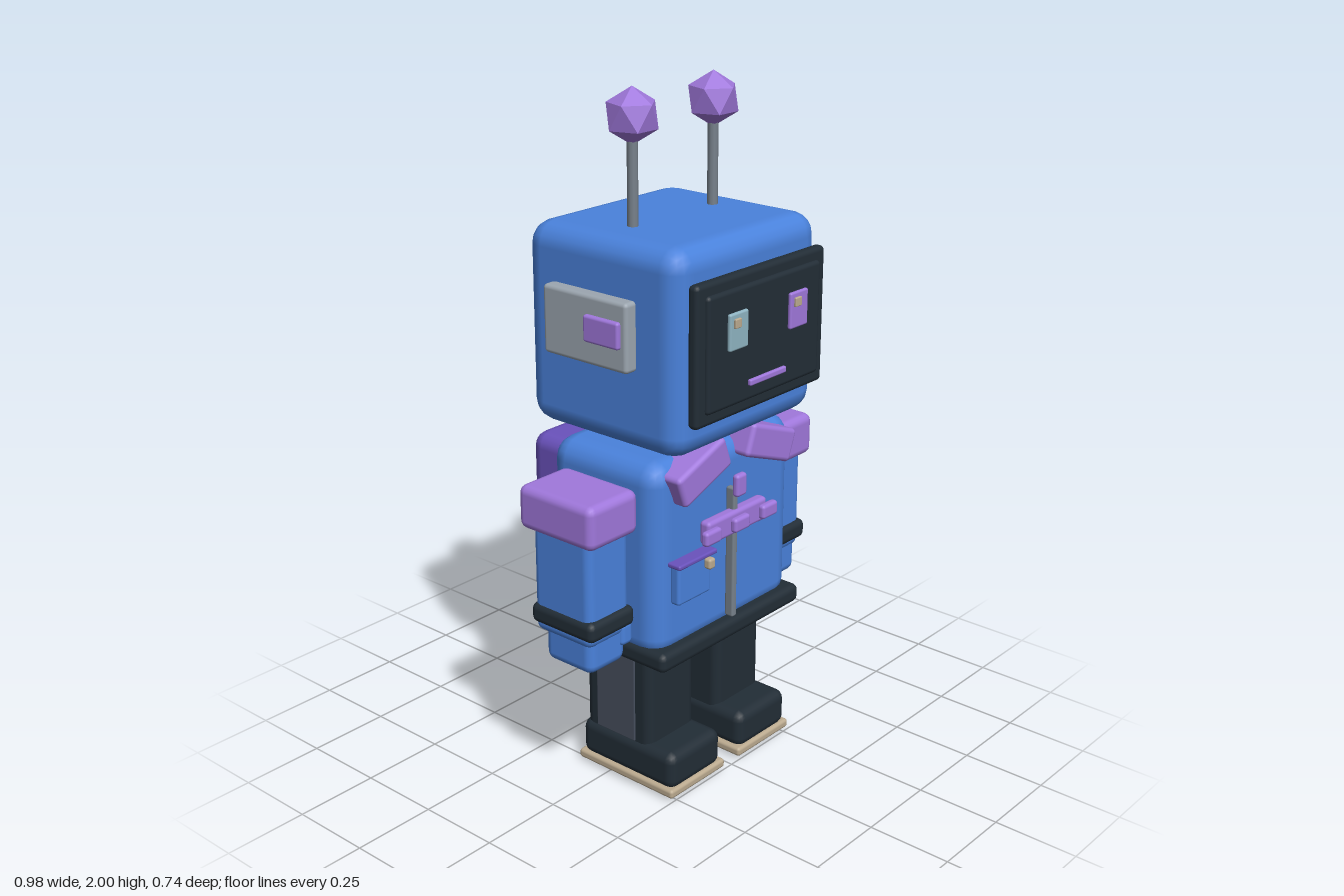
import * as THREE from 'three';
import { RoundedBoxGeometry } from 'three/addons/geometries/RoundedBoxGeometry.js';

const paint = (name, color) => Object.assign(new THREE.MeshStandardMaterial({ color }), { name });

export function createModel() {
  const robot = new THREE.Group();
  robot.name = 'robot';

  const blue = paint('blue', 0x4a82dc);
  const purple = paint('purple', 0xa078dc);
  const violet = paint('violet', 0x6a52bc);
  const dark = paint('dark', 0x222d36);
  const slate = paint('slate', 0x474f5e);
  const silver = paint('silver', 0x9ca6b0);
  const teal = paint('teal', 0x8fb4c2);
  const steel = paint('steel', 0x78828c);
  const beige = paint('beige', 0xbcab90);

  // Rounded box given by its limits on each axis
  function box(name, mat, [x0, x1], [y0, y1], [z0, z1], radius = 0.02, parent = robot) {
    const w = x1 - x0, h = y1 - y0, d = z1 - z0;
    const r = Math.min(radius, Math.min(w, h, d) * 0.45);
    const mesh = new THREE.Mesh(new RoundedBoxGeometry(w, h, d, 2, r), mat);
    mesh.position.set((x0 + x1) / 2, (y0 + y1) / 2, (z0 + z1) / 2);
    mesh.name = name;
    parent.add(mesh);
    return mesh;
  }

  // Box on one side, limits given for the +x side
  const sideBox = (s, name, mat, [a, b], y, z, r) =>
    box(name, mat, s > 0 ? [a, b] : [-b, -a], y, z, r);

  // Head and face
  box('head', blue, [-0.304, 0.304], [1.055, 1.63], [-0.257, 0.295], 0.065);
  box('faceFrame', dark, [-0.273, 0.273], [1.155, 1.545], [0.299, 0.334], 0.014);
  box('screen', dark, [-0.24, 0.24], [1.19, 1.512], [0.28, 0.345], 0.012);
  box('rightEye', teal, [-0.167, -0.09], [1.35, 1.452], [0.345, 0.358], 0.006);
  box('leftEye', purple, [0.09, 0.167], [1.35, 1.452], [0.345, 0.358], 0.006);
  box('rightEyeGlint', beige, [-0.153, -0.128], [1.412, 1.438], [0.356, 0.365], 0.003);
  box('leftEyeGlint', beige, [0.103, 0.13], [1.412, 1.438], [0.356, 0.365], 0.003);
  box('mouth', purple, [-0.078, 0.078], [1.234, 1.252], [0.345, 0.358], 0.005);

  // Neck, torso and belt
  box('neck', blue, [-0.11, 0.11], [0.98, 1.09], [-0.1, 0.12], 0.03);
  box('torso', blue, [-0.304, 0.304], [0.44, 1.025], [-0.183, 0.222], 0.065);
  box('belt', dark, [-0.31, 0.31], [0.424, 0.482], [-0.178, 0.252], 0.02);

  // Jacket front
  box('zip', steel, [-0.01, 0.01], [0.49, 0.89], [0.222, 0.252], 0.006);
  box('zipPull', purple, [-0.022, 0.022], [0.87, 0.937], [0.252, 0.275], 0.01);
  box('chestStrap', purple, [-0.13, 0.13], [0.755, 0.826], [0.225, 0.262], 0.012);
  for (const x of [-0.125, 0, 0.125])
    box('strapStud', purple, [x - 0.034, x + 0.034], [0.767, 0.81], [0.255, 0.28], 0.01);
  box('pocket', blue, [-0.243, -0.103], [0.61, 0.735], [0.215, 0.25], 0.01);
  box('pocketFlap', violet, [-0.253, -0.09], [0.725, 0.74], [0.215, 0.262], 0.006);
  box('pocketButton', beige, [-0.14, -0.113], [0.692, 0.724], [0.25, 0.275], 0.008);

  // Backpack
  box('backpack', violet, [-0.212, 0.212], [0.56, 0.97], [-0.348, -0.17], 0.045);

  for (const s of [-1, 1]) {
    const side = s > 0 ? 'left' : 'right';

    // Antenna
    const rod = new THREE.Mesh(new THREE.CylinderGeometry(0.015, 0.015, 0.3, 10), steel);
    rod.position.set(s * 0.165, 1.74, 0.02);
    rod.name = side + 'AntennaRod';
    const ball = new THREE.Mesh(new THREE.IcosahedronGeometry(0.077, 0), purple);
    ball.position.set(s * 0.165, 1.923, 0.02);
    ball.rotation.x = -1.017;
    ball.name = side + 'AntennaBall';
    robot.add(rod, ball);

    // Ear
    sideBox(s, side + 'Ear', silver, [0.296, 0.343], [1.287, 1.48], [-0.147, 0.154], 0.012);
    sideBox(s, side + 'EarLight', purple, [0.335, 0.356], [1.353, 1.428], [0.01, 0.135], 0.008);

    // Collar flap
    const collar = box(side + 'Collar', purple, [-0.105, 0.105], [-0.049, 0.049], [0.11, 0.265], 0.014);
    collar.position.set(s * 0.146, 0.983, 0.188);
    collar.rotation.z = -s * 0.36;

    // Arm
    sideBox(s, side + 'Arm', blue, [0.306, 0.47], [0.52, 0.88], [-0.085, 0.128], 0.025);
    sideBox(s, side + 'ShoulderPad', purple, [0.295, 0.488], [0.824, 0.953], [-0.12, 0.155], 0.025);
    sideBox(s, side + 'Cuff', dark, [0.3, 0.48], [0.546, 0.606], [-0.09, 0.144], 0.02);
    sideBox(s, side + 'Hand', blue, [0.315, 0.462], [0.435, 0.56], [-0.055, 0.122], 0.028);
    sideBox(s, side + 'Thumb', blue, [0.298, 0.345], [0.485, 0.555], [0.04, 0.132], 0.015);

    // Leg with outer stripe
    sideBox(s, side + 'Leg', dark, [0.05, 0.254], [0.09, 0.46], [-0.1, 0.15], 0.03);
    sideBox(s, side + 'LegStripe', slate, [0.25, 0.2585], [0.135, 0.432], [-0.05, 0.096], 0.003);

    // Shoe, sole and tread
    sideBox(s, side + 'Shoe', dark, [0.042, 0.266], [0.025, 0.14], [-0.108, 0.246], 0.03);
    sideBox(s, side + 'Sole', beige, [0.032, 0.273], [0.008, 0.036], [-0.113, 0.251], 0.01);
    sideBox(s, side + 'Tread', dark, [0.05, 0.255], [0, 0.02], [-0.094, 0.232], 0.006);

    // Backpack strip
    sideBox(s, side + 'PackStrip', teal, [0.113, 0.163], [0.61, 0.917], [-0.371, -0.34], 0.008);
  }

  return robot;
}
